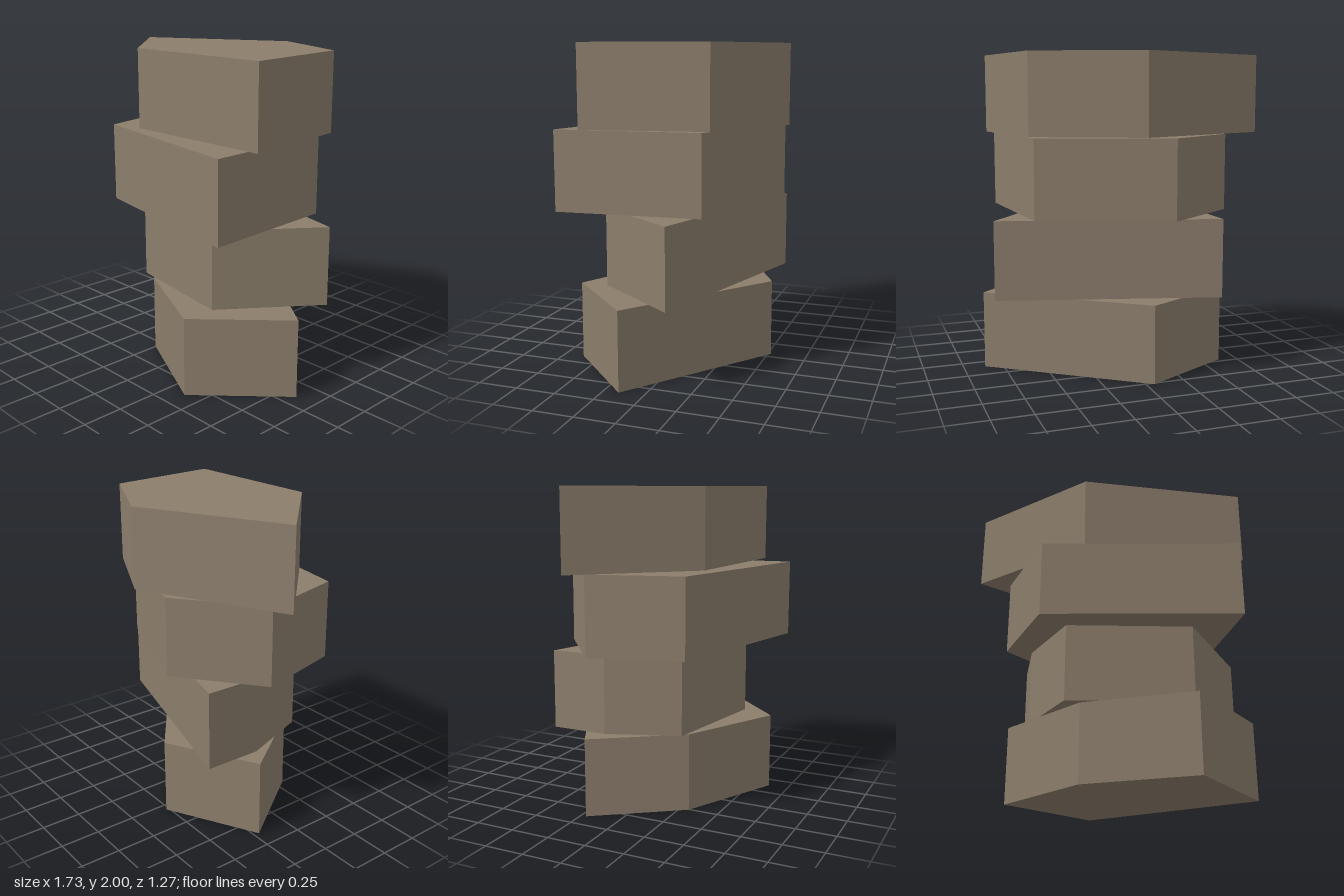
import * as THREE from 'three';

// Stack of four irregular five-sided stone slabs.
// Each outline lists (x, z) corners, walking from the front corner round the right side to the back.
const slabs = [
  { name: 'bottomStone', base: 0.0, outline: [[0.385, 0.62], [0.865, 0.155], [-0.052, -0.52], [-0.63, -0.215], [-0.255, 0.31]] },
  { name: 'lowerMiddleStone', base: 0.503, outline: [[0.42, 0.425], [0.845, -0.13], [-0.505, -0.503], [-0.508, -0.145], [-0.345, 0.3]] },
  { name: 'upperMiddleStone', base: 1.005, outline: [[0.685, 0.632], [0.625, -0.27], [-0.17, -0.563], [-0.67, -0.175], [-0.52, 0.4]] },
  { name: 'topStone', base: 1.508, outline: [[0.775, 0.425], [0.668, -0.333], [0.04, -0.635], [-0.868, -0.203], [-0.253, 0.403]] },
];
const slabHeight = 0.492;

// Upright prism over an outline on the ground plane
function prism(outline, height) {
  const shape = new THREE.Shape(outline.map(([x, z]) => new THREE.Vector2(x, -z)));
  const geometry = new THREE.ExtrudeGeometry(shape, { depth: height, bevelEnabled: false });
  return geometry.rotateX(-Math.PI / 2);
}

export function createModel() {
  const stone = new THREE.MeshStandardMaterial({ color: 0x8b7d6b, flatShading: true });
  stone.name = 'stone';

  const group = new THREE.Group();
  group.name = 'stoneStack';
  for (const { name, base, outline } of slabs) {
    const slab = new THREE.Mesh(prism(outline, slabHeight), stone);
    slab.name = name;
    slab.position.y = base;
    group.add(slab);
  }
  return group;
}
